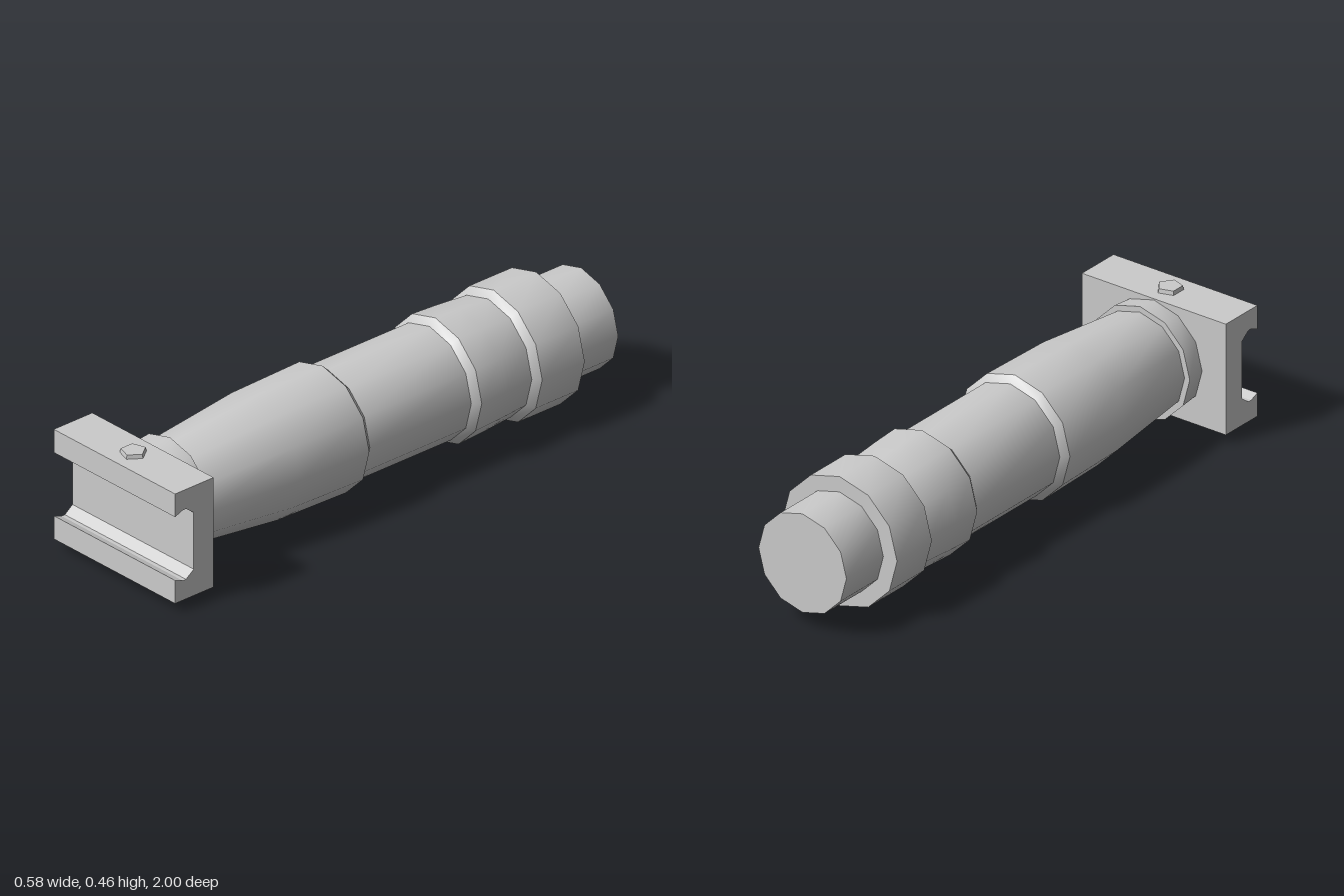
import * as THREE from 'three';
import { toCreasedNormals } from 'three/addons/utils/BufferGeometryUtils.js';

const AXIS_Y = 0.234; // height of the grip's long axis

function material(flatShading = false) {
  return new THREE.MeshStandardMaterial({ color: 0xcccccc, flatShading });
}

// Twelve-sided turned part along z; profile is [radius, z] from back to front
function turned(name, profile) {
  const points = profile.map(([r, z]) => new THREE.Vector2(r, z));
  const lathe = new THREE.LatheGeometry(points, 12).rotateX(Math.PI / 2);
  const mesh = new THREE.Mesh(toCreasedNormals(lathe, 0.6), material());
  mesh.name = name;
  mesh.position.y = AXIS_Y;
  return mesh;
}

// Block with a dovetail slot open to the front, extruded across x
function railMount() {
  const width = 0.58;
  // Upper half of the section as [z, height above axis], mirrored below
  const upper = [
    [0.92, 0.103], [0.953, 0.128], [0.967, 0.128], [1, 0.115], [1, 0.199], [0.835, 0.199],
  ];
  const lower = upper.map(([z, y]) => [z, -y]).reverse();
  const shape = new THREE.Shape([...upper, ...lower].map(([z, y]) => new THREE.Vector2(-z, y)));
  const geometry = new THREE.ExtrudeGeometry(shape, { depth: width, bevelEnabled: false });
  geometry.translate(0, 0, -width / 2).rotateY(Math.PI / 2);
  const mesh = new THREE.Mesh(geometry, material(true));
  mesh.name = 'railMount';
  mesh.position.y = AXIS_Y;
  return mesh;
}

// Five-sided bolt end, side = 1 on top and -1 underneath
function bolt(side) {
  const geometry = new THREE.CylinderGeometry(0.042, 0.048, 0.026, 5, 1, false, Math.PI / 2);
  const mesh = new THREE.Mesh(geometry, material(true));
  mesh.name = side > 0 ? 'topBolt' : 'bottomBolt';
  mesh.position.set(0, AXIS_Y + side * 0.2, 0.918);
  if (side < 0) mesh.rotation.x = Math.PI;
  return mesh;
}

export function createModel() {
  const model = new THREE.Group();
  model.name = 'foregrip';
  model.add(
    // Handle with swellings, waist, end cap and rear stub
    turned('handle', [
      [0, -1], [0.177, -1], [0.177, -0.807],
      [0.232, -0.807], [0.232, -0.625], [0.208, -0.602],
      [0.217, -0.48], [0.222, -0.375], [0.2, -0.35],
      [0.2, 0.085], [0.223, 0.108], [0.217, 0.4], [0.18, 0.765],
    ]),
    // Ring between handle and mount
    turned('collar', [[0, 0.762], [0.201, 0.762], [0.194, 0.84]]),
    railMount(),
    bolt(1),
    bolt(-1),
  );
  return model;
}
